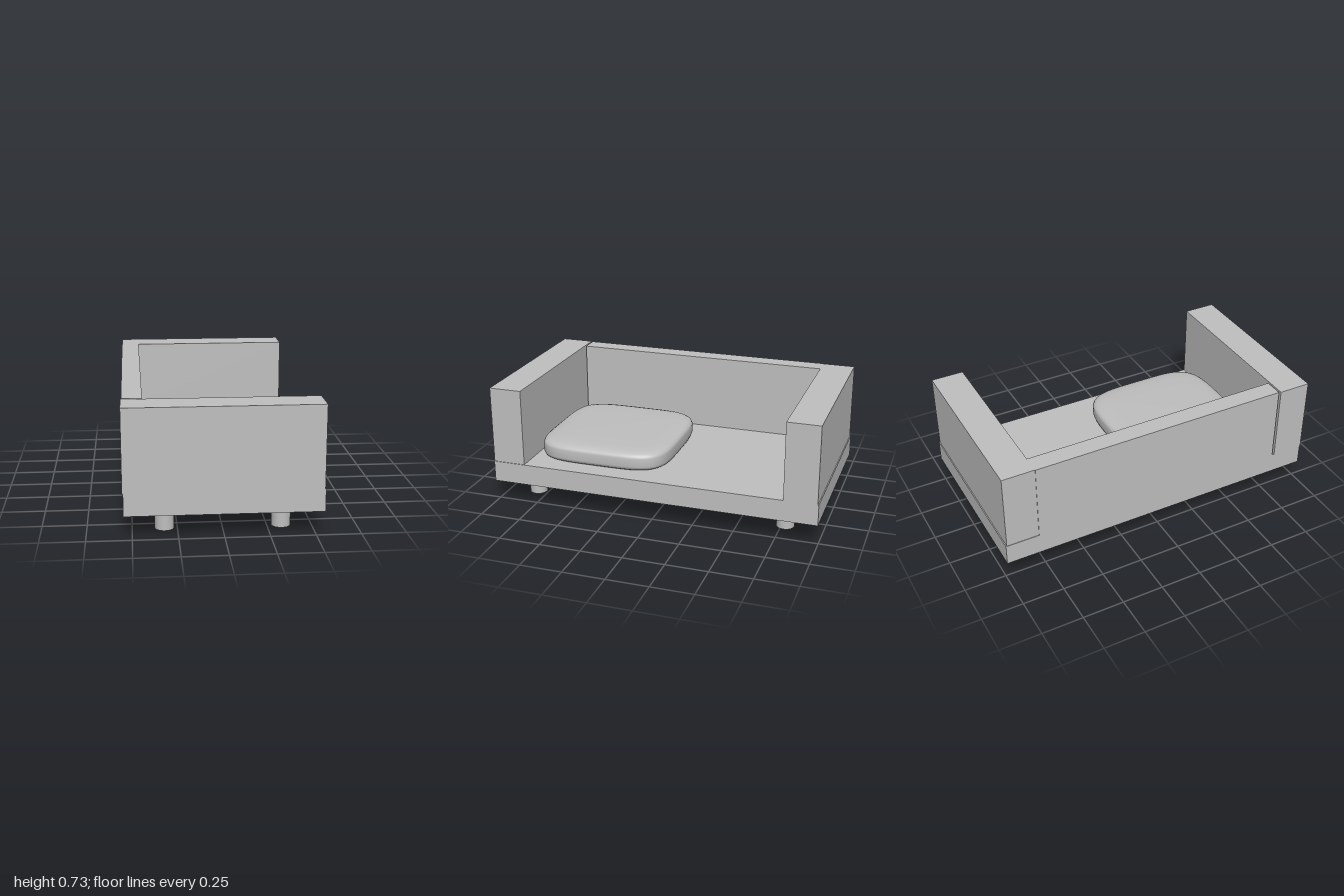
import * as THREE from 'three';
import { mergeVertices } from 'three/addons/utils/BufferGeometryUtils.js';

const grey = new THREE.MeshStandardMaterial({ color: 0xbfbfbf });
grey.name = 'plain grey';

// Box given by its extents along each axis
function block(name, [x0, x1], [y0, y1], [z0, z1]) {
  const mesh = new THREE.Mesh(new THREE.BoxGeometry(x1 - x0, y1 - y0, z1 - z0), grey);
  mesh.name = name;
  mesh.position.set((x0 + x1) / 2, (y0 + y1) / 2, (z0 + z1) / 2);
  return mesh;
}

// Turned pillow profile, squared off into a superellipse plan
function cushionGeometry(half) {
  const profile = [
    [0, 0], [0.9, 0], [0.95, 0.003], [0.985, 0.012], [1, 0.03], [1, 0.08],
    [0.985, 0.095], [0.95, 0.106], [0.88, 0.114], [0.75, 0.119], [0.5, 0.122], [0, 0.123],
  ].map(([r, y]) => new THREE.Vector2(r * half, y));
  let geometry = new THREE.LatheGeometry(profile, 96);
  const pos = geometry.attributes.position;
  const n = 4.5;
  for (let i = 0; i < pos.count; i++) {
    const x = pos.getX(i), z = pos.getZ(i), r = Math.hypot(x, z);
    if (r < 1e-6) continue;
    const k = (Math.abs(x / r) ** n + Math.abs(z / r) ** n) ** (-1 / n);
    pos.setX(i, x * k);
    pos.setZ(i, z * k);
  }
  geometry.deleteAttribute('uv');
  geometry.deleteAttribute('normal');
  geometry = mergeVertices(geometry, 1e-5);
  geometry.computeVertexNormals();
  return geometry;
}

export function createModel() {
  const model = new THREE.Group();
  model.name = 'daybed';
  const top = 0.733, seat = 0.263, under = 0.135;

  // Platform, two end arms and the long backrest
  model.add(
    block('base', [-0.546, 0.547], [under, seat], [-1, 1]),
    block('frontArm', [-0.551, 0.543], [seat, top], [0.802, 1]),
    block('rearArm', [-0.543, 0.547], [seat, top], [-0.994, -0.797]),
    block('backrest', [-0.546, -0.433], [seat, top], [-0.797, 0.791]),
  );

  // Loose seat cushion
  const cushion = new THREE.Mesh(cushionGeometry(0.411), grey);
  cushion.name = 'cushion';
  cushion.position.set(0.038, 0.264, 0.375);
  model.add(cushion);

  // Four round legs
  const legGeometry = new THREE.CylinderGeometry(0.054, 0.054, under, 32);
  for (const x of [-0.321, 0.329]) {
    for (const z of [-0.772, 0.817]) {
      const leg = new THREE.Mesh(legGeometry, grey);
      leg.name = 'leg';
      leg.position.set(x, under / 2, z);
      model.add(leg);
    }
  }
  return model;
}
